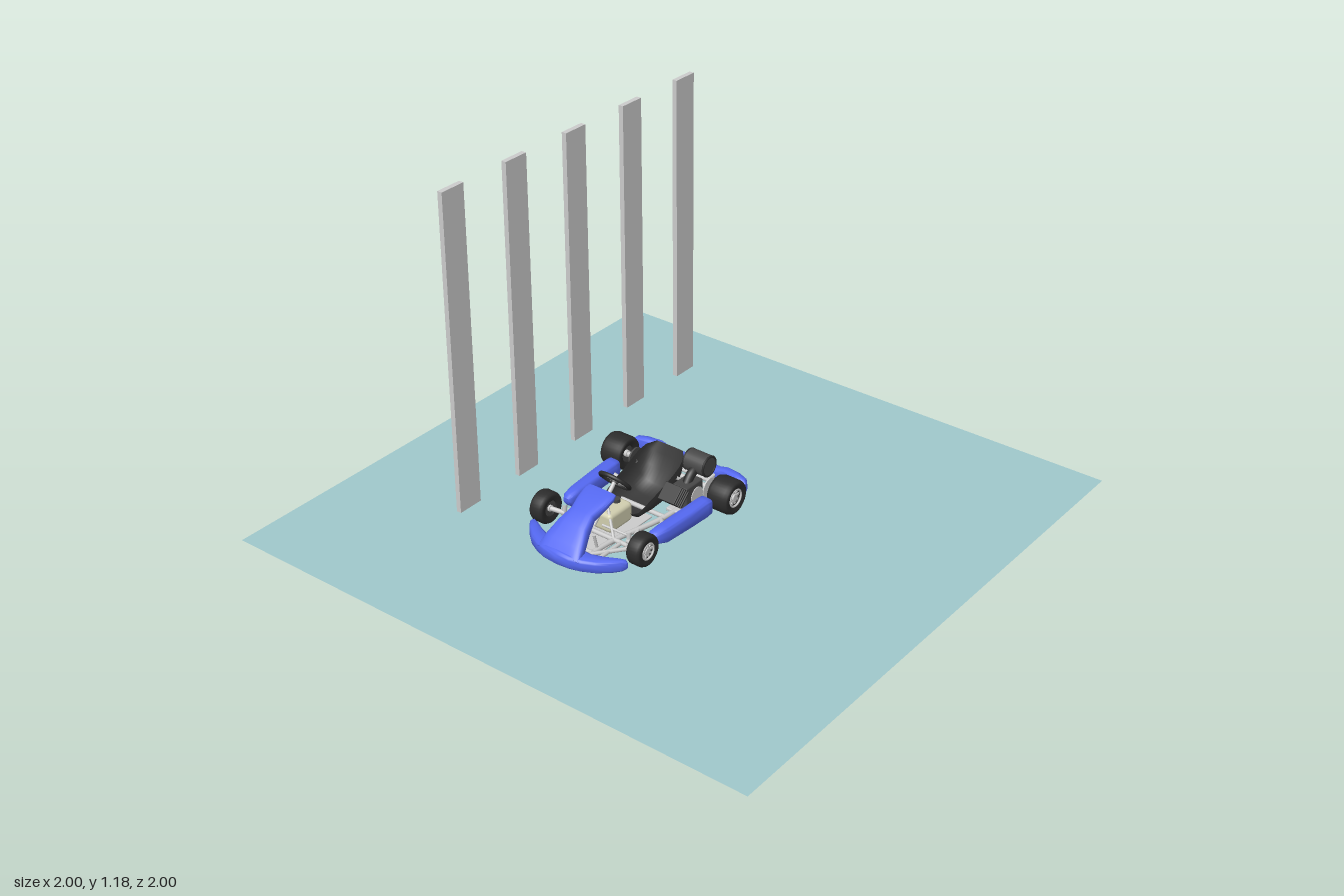
import * as THREE from 'three';
import { toCreasedNormals } from 'three/addons/utils/BufferGeometryUtils.js';
import { RoundedBoxGeometry } from 'three/addons/geometries/RoundedBoxGeometry.js';

const mat = (color, side = THREE.FrontSide) => new THREE.MeshStandardMaterial({ color, side });
const GREY = mat(0xcccccc), BLUE = mat(0x5468f0), BLACK = mat(0x2c2c2c), DARK = mat(0x484848);
const BEIGE = mat(0xd2cfb0), SEAT = mat(0x383838, THREE.DoubleSide), GROUND = mat(0xa0c8cc, THREE.DoubleSide);
const V = (x, y, z) => new THREE.Vector3(x, y, z);

function add(parent, name, geo, material, x = 0, y = 0, z = 0) {
  const m = new THREE.Mesh(geo, material);
  m.name = name;
  m.position.set(x, y, z);
  parent.add(m);
  return m;
}
const box = (w, h, d, r = 0.006) => new RoundedBoxGeometry(w, h, d, 2, r);
const cylZ = (r, len, n = 28) => new THREE.CylinderGeometry(r, r, len, n).rotateX(Math.PI / 2);

// Round bar along a list of points
function bar(parent, name, pts, r = 0.007, material = GREY) {
  const path = pts.length === 2
    ? new THREE.LineCurve3(V(...pts[0]), V(...pts[1]))
    : new THREE.CatmullRomCurve3(pts.map(p => V(...p)));
  return add(parent, name, new THREE.TubeGeometry(path, pts.length === 2 ? 1 : 24, r, 10), material);
}

// Closed solid through rounded cross-sections: centre c, half axes u and v
function loft(sections, n = 24, e = 0.55) {
  const pos = [], idx = [];
  const pow = t => Math.sign(t) * Math.abs(t) ** e;
  for (const { c, u, v } of sections)
    for (let i = 0; i < n; i++) {
      const a = i / n * Math.PI * 2;
      const p = V(...c).addScaledVector(V(...u), pow(Math.cos(a))).addScaledVector(V(...v), pow(Math.sin(a)));
      pos.push(p.x, p.y, p.z);
    }
  const last = sections.length - 1;
  for (let k = 0; k < last; k++)
    for (let i = 0; i < n; i++) {
      const a = k * n + i, b = k * n + (i + 1) % n;
      idx.push(a, b, b + n, a, b + n, a + n);
    }
  for (let i = 1; i < n - 1; i++) idx.push(0, i + 1, i, last * n, last * n + i, last * n + i + 1);
  // Turn the faces outward if the enclosed volume is negative
  const at = i => V(pos[3 * i], pos[3 * i + 1], pos[3 * i + 2]);
  let vol = 0;
  for (let i = 0; i < idx.length; i += 3) vol += at(idx[i]).dot(at(idx[i + 1]).cross(at(idx[i + 2])));
  if (vol < 0) idx.reverse();
  const g = new THREE.BufferGeometry();
  g.setAttribute('position', new THREE.Float32BufferAttribute(pos, 3));
  g.setIndex(idx);
  return toCreasedNormals(g, 0.8);
}
// Sections square to z or to x: [station, lowSide, highSide, y0, y1]
const alongZ = rows => loft(rows.map(([z, a, b, y0, y1]) =>
  ({ c: [(a + b) / 2, (y0 + y1) / 2, z], u: [(b - a) / 2, 0, 0], v: [0, (y1 - y0) / 2, 0] })));
const alongX = rows => loft(rows.map(([x, a, b, y0, y1]) =>
  ({ c: [x, (y0 + y1) / 2, (a + b) / 2], u: [0, 0, (b - a) / 2], v: [0, (y1 - y0) / 2, 0] })));
const mirrored = rows => [...rows.slice(1).reverse().map(([z, ...r]) => [-z, ...r]), ...rows];

function wheel(r, w, side) {
  const g = new THREE.Group(), h = w / 2, rim = r * 0.5;
  const profile = [[rim, -h * 0.85], [r * 0.78, -h], [r * 0.93, -h * 0.9], [r, -h * 0.62],
    [r, h * 0.62], [r * 0.93, h * 0.9], [r * 0.78, h], [rim, h * 0.85], [rim, -h * 0.85]];
  const tyre = new THREE.LatheGeometry(profile.map(p => new THREE.Vector2(...p)), 36).rotateX(-Math.PI / 2);
  add(g, 'tyre', tyre, mat(0x2c2c2c, THREE.DoubleSide));
  add(g, 'rimDisc', cylZ(rim, w * 0.6), DARK);
  add(g, 'rimLip', new THREE.TorusGeometry(rim, r * 0.06, 8, 32), GREY, 0, 0, side * h * 0.85);
  add(g, 'hub', cylZ(r * 0.2, w * 0.85, 16), GREY);
  for (let i = 0; i < 5; i++)
    add(g, 'spoke', new THREE.BoxGeometry(rim * 2, r * 0.12, 0.006).translate(0, 0, side * h * 0.62), GREY)
      .rotation.z = i * Math.PI / 5;
  return g;
}

// Bucket shell: each station has a floor point, a rim point and a half width
function seatShell() {
  const st = [[-0.185, 0.09, -0.188, 0.095, 0.06], [-0.165, 0.066, -0.18, 0.104, 0.077], [-0.1, 0.055, -0.12, 0.128, 0.083],
    [-0.03, 0.055, -0.055, 0.15, 0.085], [0.02, 0.075, -0.01, 0.168, 0.086], [0.05, 0.115, 0.02, 0.182, 0.085],
    [0.07, 0.165, 0.05, 0.194, 0.077], [0.082, 0.2, 0.075, 0.202, 0.055]];
  const n = 24, pos = [], idx = [];
  st.forEach(([x, y, rx, ry, w], k) => {
    for (let i = 0; i <= n; i++) {
      const t = i / n * 2 - 1, a = t * Math.PI / 2;
      const z = Math.sign(t) * w * Math.abs(Math.sin(a)) ** 0.75, f = 1 - Math.cos(a) ** 0.7;
      pos.push(x + (rx - x) * f, y + (ry - y) * f, z);
      if (k && i) {
        const p = k * (n + 1) + i, q = p - n - 1;
        idx.push(q - 1, q, p, q - 1, p, p - 1);
      }
    }
  });
  const g = new THREE.BufferGeometry();
  g.setAttribute('position', new THREE.Float32BufferAttribute(pos, 3));
  g.setIndex(idx);
  g.computeVertexNormals();
  return g;
}

function createKart() {
  const kart = new THREE.Group();
  kart.name = 'kart';

  // Wheels and axles
  for (const s of [-1, 1]) {
    const f = wheel(0.055, 0.054, s), r = wheel(0.06, 0.085, s);
    f.name = 'frontWheel'; f.position.set(-0.317, 0.089, s * 0.2);
    r.name = 'rearWheel'; r.position.set(0.09, 0.094, s * 0.2235);
    kart.add(f, r);
    bar(kart, 'stubAxle', [[-0.317, 0.089, s * 0.18], [-0.305, 0.085, s * 0.13]], 0.008);
    bar(kart, 'kingpin', [[-0.305, 0.055, s * 0.135], [-0.3, 0.115, s * 0.132]], 0.008);
    bar(kart, 'tieRod', [[-0.28, 0.085, s * 0.135], [-0.29, 0.09, s * 0.015]], 0.004);
  }
  add(kart, 'rearAxle', cylZ(0.009, 0.4, 16), GREY, 0.09, 0.094, 0);
  add(kart, 'brakeDisc', cylZ(0.034, 0.006), DARK, 0.09, 0.094, -0.157);
  add(kart, 'sprocket', cylZ(0.036, 0.005), GREY, 0.09, 0.094, 0.155);

  // Tube frame
  for (const s of [-1, 1]) {
    bar(kart, 'mainRail', [[-0.43, 0.06, s * 0.06], [-0.3, 0.06, s * 0.07], [-0.1, 0.06, s * 0.115], [0.17, 0.07, s * 0.13]], 0.009);
    bar(kart, 'frontBrace', [[-0.42, 0.065, s * 0.06], [-0.305, 0.06, s * 0.14]]);
    bar(kart, 'rearBrace', [[-0.2, 0.06, s * 0.09], [-0.305, 0.06, s * 0.14]]);
    bar(kart, 'noseStay', [[-0.3, 0.062, s * 0.1], [-0.45, 0.062, s * 0.1]]);
    bar(kart, 'podStayFront', [[-0.11, 0.06, s * 0.11], [-0.19, 0.075, s * 0.185]]);
    bar(kart, 'podStayRear', [[-0.01, 0.06, s * 0.12], [-0.01, 0.075, s * 0.185]]);
    bar(kart, 'seatStay', [[0.08, 0.08, s * 0.125], [0.0, 0.15, s * 0.085]], 0.006);
    bar(kart, 'bumperStay', [[0.15, 0.07, s * 0.1], [0.19, 0.075, s * 0.1]]);
    bar(kart, 'pedal', [[-0.37, 0.06, s * 0.06], [-0.385, 0.12, s * 0.06]], 0.005);
  }
  for (const [x, h] of [[-0.4, 0.07], [-0.3, 0.14], [-0.1, 0.115], [0.165, 0.13]])
    bar(kart, 'crossBar', [[x, 0.062, -h], [x, 0.062, h]], 0.008);

  // Floor and fuel tank
  add(kart, 'floorTray', box(0.28, 0.006, 0.15, 0.002), GREY, -0.25, 0.052, 0);
  add(kart, 'fuelTank', box(0.115, 0.07, 0.085, 0.015), BEIGE, -0.225, 0.092, 0);
  add(kart, 'tankCap', new THREE.CylinderGeometry(0.013, 0.013, 0.014, 16), DARK, -0.2, 0.132, 0);

  // Crescent nose bumper
  add(kart, 'noseBumper', alongZ(mirrored([[0, -0.506, -0.43, 0.043, 0.095], [0.05, -0.501, -0.43, 0.043, 0.094],
    [0.09, -0.488, -0.428, 0.043, 0.09], [0.13, -0.467, -0.412, 0.043, 0.088],
    [0.165, -0.437, -0.392, 0.043, 0.086], [0.188, -0.41, -0.382, 0.046, 0.083], [0.198, -0.398, -0.386, 0.054, 0.075]])), BLUE);
  // Rising front panel: centre x, y, half width, half thickness vector
  const panel = [[-0.488, 0.072, 0.085, -0.006, 0.015], [-0.455, 0.1, 0.077, -0.014, 0.018], [-0.41, 0.138, 0.06, -0.013, 0.02],
    [-0.365, 0.163, 0.046, -0.009, 0.019], [-0.32, 0.183, 0.056, -0.006, 0.015], [-0.285, 0.197, 0.06, -0.004, 0.011],
    [-0.268, 0.204, 0.055, -0.002, 0.006]];
  add(kart, 'frontPanel', loft(panel.map(([x, y, w, tx, ty]) => ({ c: [x, y, 0], u: [0, 0, w], v: [tx, ty, 0] }))), BLUE);
  bar(kart, 'panelStay', [[-0.36, 0.06, 0], [-0.33, 0.175, 0]], 0.006);

  // Side pods and rear bumper
  for (const s of [-1, 1])
    add(kart, 'sidePod', alongX([[-0.243, 0.165, 0.188, 0.072, 0.09], [-0.23, 0.158, 0.198, 0.056, 0.1], [-0.19, 0.158, 0.207, 0.044, 0.104],
      [-0.08, 0.162, 0.215, 0.043, 0.106], [0.0, 0.165, 0.219, 0.043, 0.108], [0.022, 0.167, 0.219, 0.046, 0.106],
      [0.031, 0.175, 0.212, 0.055, 0.098]].map(([x, a, b, ...y]) => [x, s * a, s * b, ...y])), BLUE);
  add(kart, 'rearBumper', alongZ(mirrored([[0, 0.184, 0.217, 0.042, 0.1], [0.11, 0.184, 0.217, 0.042, 0.1],
    [0.14, 0.183, 0.217, 0.047, 0.108], [0.19, 0.175, 0.212, 0.05, 0.108], [0.225, 0.17, 0.2, 0.053, 0.105],
    [0.236, 0.172, 0.188, 0.064, 0.095]])), BLUE);

  // Seat
  add(kart, 'seat', seatShell(), SEAT);

  // Steering
  const steer = new THREE.Group();
  steer.name = 'steeringWheel';
  steer.position.set(-0.206, 0.208, 0);
  steer.quaternion.setFromUnitVectors(V(0, 1, 0), V(0.75, 0.66, 0).normalize());
  add(steer, 'grip', new THREE.TorusGeometry(0.052, 0.007, 10, 40).rotateX(Math.PI / 2), BLACK);
  add(steer, 'wheelHub', new THREE.CylinderGeometry(0.014, 0.014, 0.012, 16), DARK);
  for (const a of [0, 1, 2, 3])
    add(steer, 'wheelSpoke', new THREE.BoxGeometry(0.05, 0.004, 0.011).translate(0.026, 0, 0), GREY)
      .rotation.y = Math.PI / 4 + a * Math.PI / 2;
  kart.add(steer);
  bar(kart, 'steeringColumn', [[-0.207, 0.207, 0], [-0.315, 0.095, 0]], 0.007);
  for (const s of [-1, 1]) bar(kart, 'columnStay', [[-0.25, 0.163, 0], [-0.3, 0.062, s * 0.07]], 0.005);

  // Engine beside the seat
  add(kart, 'engineBlock', box(0.09, 0.085, 0.06), DARK, 0.01, 0.105, 0.125);
  add(kart, 'engineMount', box(0.12, 0.012, 0.07, 0.004), GREY, 0.0, 0.062, 0.125);
  for (let i = 0; i < 5; i++)
    add(kart, 'coolingFin', box(0.062, 0.006, 0.066, 0.002), BLACK, -0.045 - i * 0.009, 0.115 + i * 0.008, 0.125)
      .rotation.z = 0.75;
  add(kart, 'crankCase', cylZ(0.03, 0.075), GREY, 0.02, 0.1, 0.12);
  add(kart, 'airBox', cylZ(0.037, 0.082), DARK, 0.073, 0.187, 0.125);
  for (const s of [-1, 1])
    add(kart, 'airBoxRim', new THREE.TorusGeometry(0.034, 0.004, 8, 28), BLACK, 0.073, 0.187, 0.125 + s * 0.04);
  bar(kart, 'intake', [[0.07, 0.18, 0.125], [0.03, 0.165, 0.125], [0.0, 0.13, 0.125]], 0.016, BLACK);

  // Silencer behind the seat
  add(kart, 'silencer', new THREE.CapsuleGeometry(0.017, 0.075, 6, 18).rotateX(Math.PI / 2), DARK, 0.107, 0.135, -0.04);
  bar(kart, 'exhaustPipe', [[0.03, 0.12, 0.12], [0.09, 0.13, 0.08], [0.107, 0.135, 0.01]], 0.009);
  bar(kart, 'tailPipe', [[0.107, 0.135, -0.09], [0.11, 0.13, -0.11], [0.13, 0.12, -0.125]], 0.007);
  return kart;
}

export function createModel() {
  const model = new THREE.Group();
  model.name = 'kartScene';
  add(model, 'groundSheet', new THREE.PlaneGeometry(2, 2).rotateX(-Math.PI / 2), GROUND, 0, 0.035, 0);
  // Row of upright slabs
  for (let i = 0; i < 5; i++)
    add(model, 'pillar', new THREE.BoxGeometry(0.095, 1.178, 0.018), GREY, -0.408 + i * 0.286, 0.589, -0.565);
  const kart = createKart();
  kart.position.z = -0.109;
  model.add(kart);
  return model;
}
